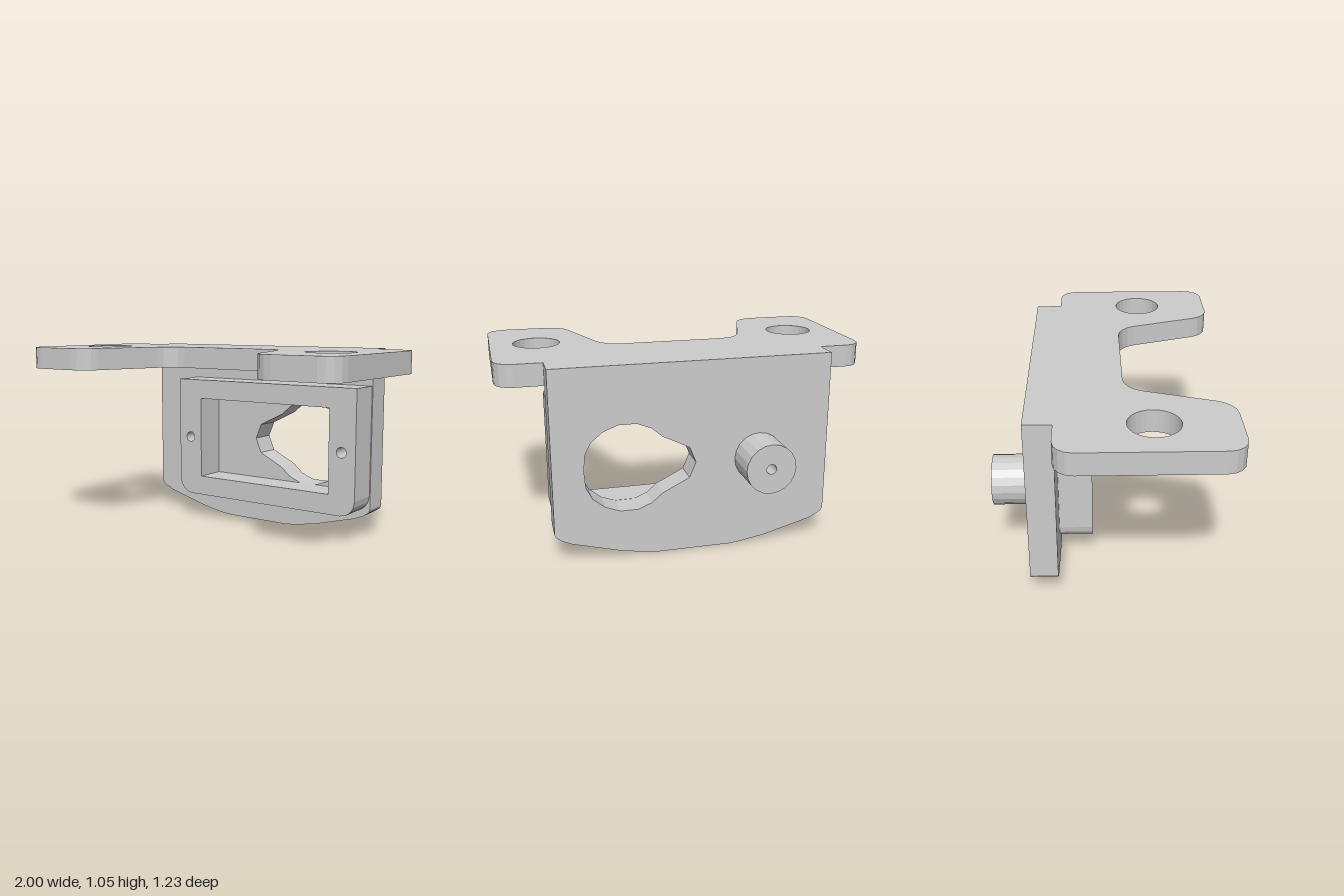
import * as THREE from 'three';

const material = new THREE.MeshStandardMaterial({ color: 0xcccccc, flatShading: true });

// Closed outline from [x, y, t] corners; t is how far the rounding reaches along each side
function outline(corners) {
  const shape = new THREE.Shape();
  const pts = corners.map(([x, y]) => new THREE.Vector2(x, y));
  corners.forEach(([, , t = 0], i) => {
    const p = pts[i];
    const toPrev = pts.at(i - 1).clone().sub(p).normalize();
    const toNext = pts[(i + 1) % pts.length].clone().sub(p).normalize();
    const a = p.clone().addScaledVector(toPrev, t);
    if (i === 0) shape.moveTo(a.x, a.y);
    else shape.lineTo(a.x, a.y);
    if (!t) return;
    const turn = Math.PI - Math.acos(toPrev.dot(toNext));
    const h = t - (4 / 3) * Math.tan(turn / 4) * t / Math.tan(turn / 2);
    const b = p.clone().addScaledVector(toNext, t);
    const c1 = p.clone().addScaledVector(toPrev, h);
    const c2 = p.clone().addScaledVector(toNext, h);
    shape.bezierCurveTo(c1.x, c1.y, c2.x, c2.y, b.x, b.y);
  });
  shape.closePath();
  return shape;
}

// Regular polygon standing in for a circle
function circle(x, y, r, sides) {
  const pts = [];
  for (let i = 0; i < sides; i++) {
    const a = (i / sides) * Math.PI * 2;
    pts.push([x + r * Math.cos(a), y + r * Math.sin(a)]);
  }
  return outline(pts);
}

function slab(name, shape, holes, depth, z) {
  shape.holes.push(...holes);
  const geometry = new THREE.ExtrudeGeometry(shape, { depth, bevelEnabled: false, curveSegments: 4 });
  const mesh = new THREE.Mesh(geometry, material);
  mesh.name = name;
  mesh.position.z = z;
  return mesh;
}

// Complete a half outline by reflecting it across x = 0
const mirrorX = (half) => [...half, ...half.map(([x, y, t]) => [-x, y, t]).reverse()];

export function createModel() {
  const group = new THREE.Group();
  group.name = 'mountingBracket';

  // Upright plate with a bowed lower edge and a keyhole opening
  const plateHalf = [
    [0.2, 0], [0.27, 0.007], [0.4, 0.03], [0.66, 0.1], [0.71, 0.122],
    [0.74, 0.142], [0.75, 0.16], [0.75, 1.05],
  ];
  const keyUpper = [
    [0.025, 0.585], [0.17, 0.657], [0.23, 0.708], [0.305, 0.738], [0.4, 0.738],
    [0.48, 0.708], [0.545, 0.655], [0.578, 0.59],
  ];
  const keyhole = outline([
    [-0.01, 0.5], ...keyUpper, [0.585, 0.5],
    ...keyUpper.map(([x, y]) => [x, 1 - y]).reverse(),
  ]);
  group.add(slab('uprightPlate', outline(mirrorX(plateHalf)), [keyhole], 0.145, -0.415));

  // Raised frame on the front with a rectangular window and two screw holes
  const frame = outline([[-0.45, 0.15, 0.09], [0.745, 0.15, 0.09], [0.745, 0.85], [-0.45, 0.85]]);
  const window = outline([[-0.29, 0.263], [0.583, 0.263], [0.583, 0.738], [-0.29, 0.738]]);
  const screwHoles = [-0.37, 0.66].map((x) => circle(x, 0.5, 0.03, 16));
  group.add(slab('frontFrame', frame, [window, ...screwHoles], 0.18, -0.27));

  // Horizontal flange with two forward ears, drawn as (x, -z) and laid flat
  const flangeHalf = [
    [0.384, -0.07, 0.1], [0.56, -0.61, 0.095], [1, -0.61, 0.1], [1, 0.272, 0.1],
  ];
  const earHoles = [-0.745, 0.745].map((x) => circle(x, -0.2, 0.13, 28));
  const flange = slab('topFlange', outline(mirrorX(flangeHalf)), earHoles, 0.12, 0);
  flange.rotation.x = -Math.PI / 2;
  flange.position.y = 0.93;
  group.add(flange);

  // Hollow peg on the back
  const bore = circle(-0.36, 0.5, 0.027, 16);
  group.add(slab('backPeg', circle(-0.36, 0.5, 0.135, 20), [bore], 0.2, -0.615));

  return group;
}
